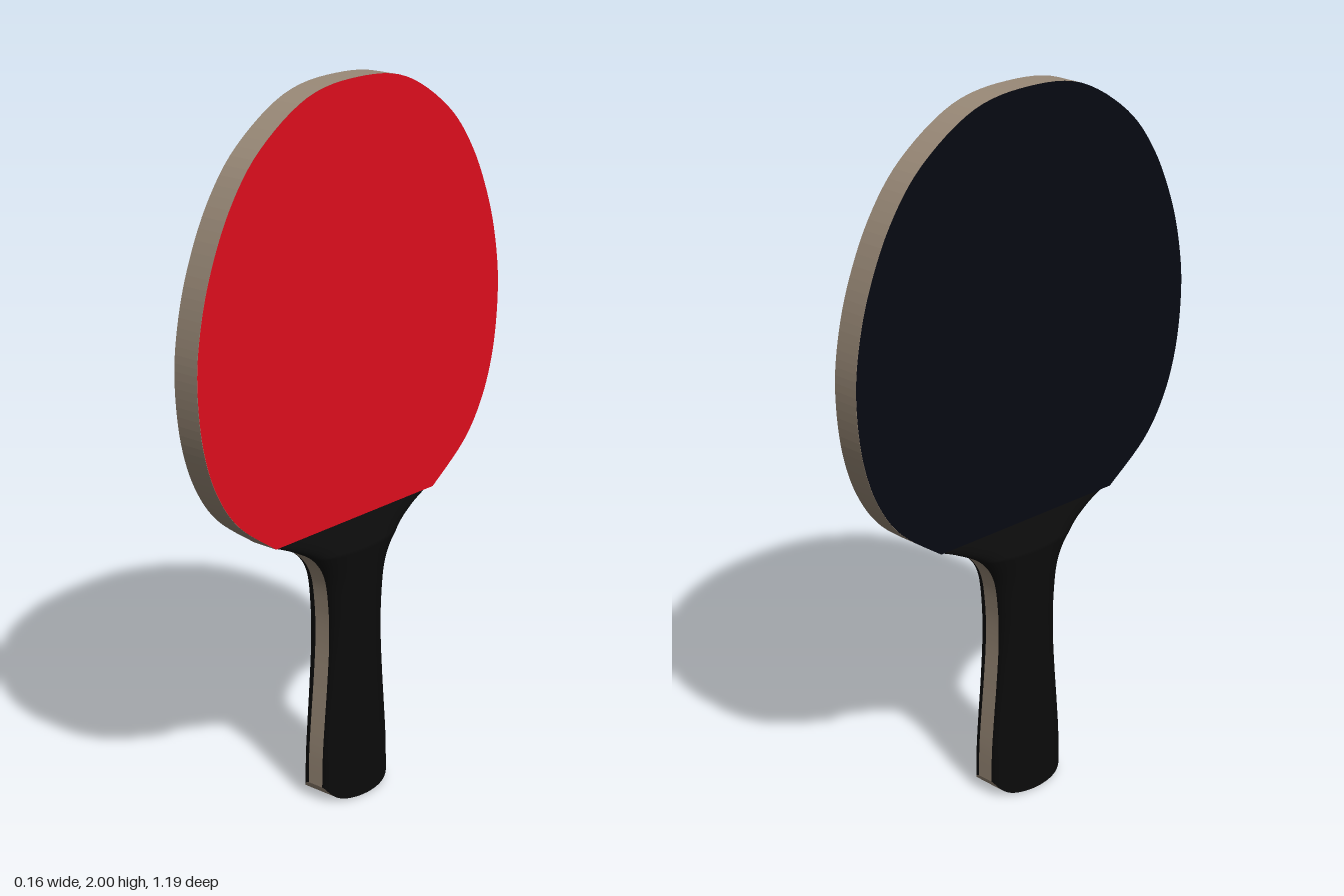
import * as THREE from 'three';
import { ParametricGeometry } from 'three/addons/geometries/ParametricGeometry.js';

const HALF_THICK = 0.04; // blade
const HALF_CORE = 0.025; // wooden core showing between the two grips
const BULGE = 0.055; // how far each grip swells out from the core
const NECK_Y = 0.81;

const vec2 = (list) => list.map(([a, b]) => new THREE.Vector2(a, b));

// Half width (z) of the handle against height, flaring into the blade
const handleCurve = new THREE.SplineCurve(vec2([
  [0.128, 0], [0.125, 0.1], [0.117, 0.2], [0.106, 0.32], [0.098, 0.44], [0.1, 0.55],
  [0.117, 0.655], [0.165, 0.725], [0.245, 0.775], [0.32, NECK_Y],
]));

// Point on the handle: t runs up, s runs from -z to +z, side is the x fraction (-1 to 1)
function handlePoint(t, s, side, target) {
  const c = handleCurve.getPoint(t);
  const a = (s - 0.5) * Math.PI;
  const u = Math.sin(a);
  const bottom = 0.014 * u * u + 0.03 * Math.pow(u, 8); // rounded butt
  const y = bottom + (c.y / NECK_Y) * (NECK_Y - bottom);
  const ramp = THREE.MathUtils.clamp((NECK_Y - c.y) / 0.08, 0.06, 1); // bevel under the blade
  const x = HALF_CORE + BULGE * ramp * Math.cos(a);
  target.set(side * x, y, c.x * u);
}

export function createModel() {
  const model = new THREE.Group();
  const mat = (color) => new THREE.MeshStandardMaterial({ color });
  const wood = mat(0x9a8a78);
  const black = mat(0x0b0b0b);
  const red = mat(0xe00d1d);
  const navy = mat(0x070912);

  const add = (parent, name, geometry, material) => {
    const mesh = new THREE.Mesh(geometry, material);
    mesh.name = name;
    parent.add(mesh);
    return mesh;
  };

  // Blade outline, cut straight where it meets the handle
  const half = [
    [0.32, NECK_Y], [0.456, 0.91], [0.535, 1.02], [0.58, 1.15], [0.597, 1.3], [0.588, 1.43],
    [0.55, 1.58], [0.475, 1.74], [0.366, 1.87], [0.19, 1.975],
  ];
  const mirrored = half.map(([z, y]) => [-z, y]).reverse();
  const outline = new THREE.SplineCurve(vec2([...half, [0, 2], ...mirrored]));
  const shape = new THREE.Shape(outline.getPoints(120));

  const blade = new THREE.Group();
  blade.name = 'blade';
  model.add(blade);
  const depth = 2 * HALF_THICK - 0.002;
  const core = new THREE.ExtrudeGeometry(shape, { depth, bevelEnabled: false });
  core.translate(0, 0, -depth / 2).rotateY(Math.PI / 2);
  add(blade, 'bladeCore', core, wood);

  // Rubber sheets on the two faces
  for (const [name, side, material] of [['redRubber', 1, red], ['darkRubber', -1, navy]]) {
    const sheet = new THREE.ShapeGeometry(shape);
    sheet.translate(0, 0, HALF_THICK).rotateY(side * Math.PI / 2);
    add(blade, name, sheet, material);
  }

  const handle = new THREE.Group();
  handle.name = 'handle';
  model.add(handle);
  for (const side of [1, -1]) {
    const tag = side > 0 ? 'left' : 'right';
    // Bulged grip
    add(handle, `${tag}Grip`, new ParametricGeometry((t, s, p) =>
      handlePoint(t, side > 0 ? s : 1 - s, side, p), 60, 24), black);
    // Wooden strip along the narrow edge
    const end = side > 0 ? 1 : 0;
    add(handle, side > 0 ? 'frontEdge' : 'backEdge', new ParametricGeometry((x, t, p) =>
      handlePoint(t, end, side * (2 * x - 1), p), 2, 60), wood);
  }
  // Wooden butt end
  add(handle, 'buttEnd', new ParametricGeometry((x, s, p) =>
    handlePoint(0, s, 2 * x - 1, p), 4, 24), wood);

  return model;
}
